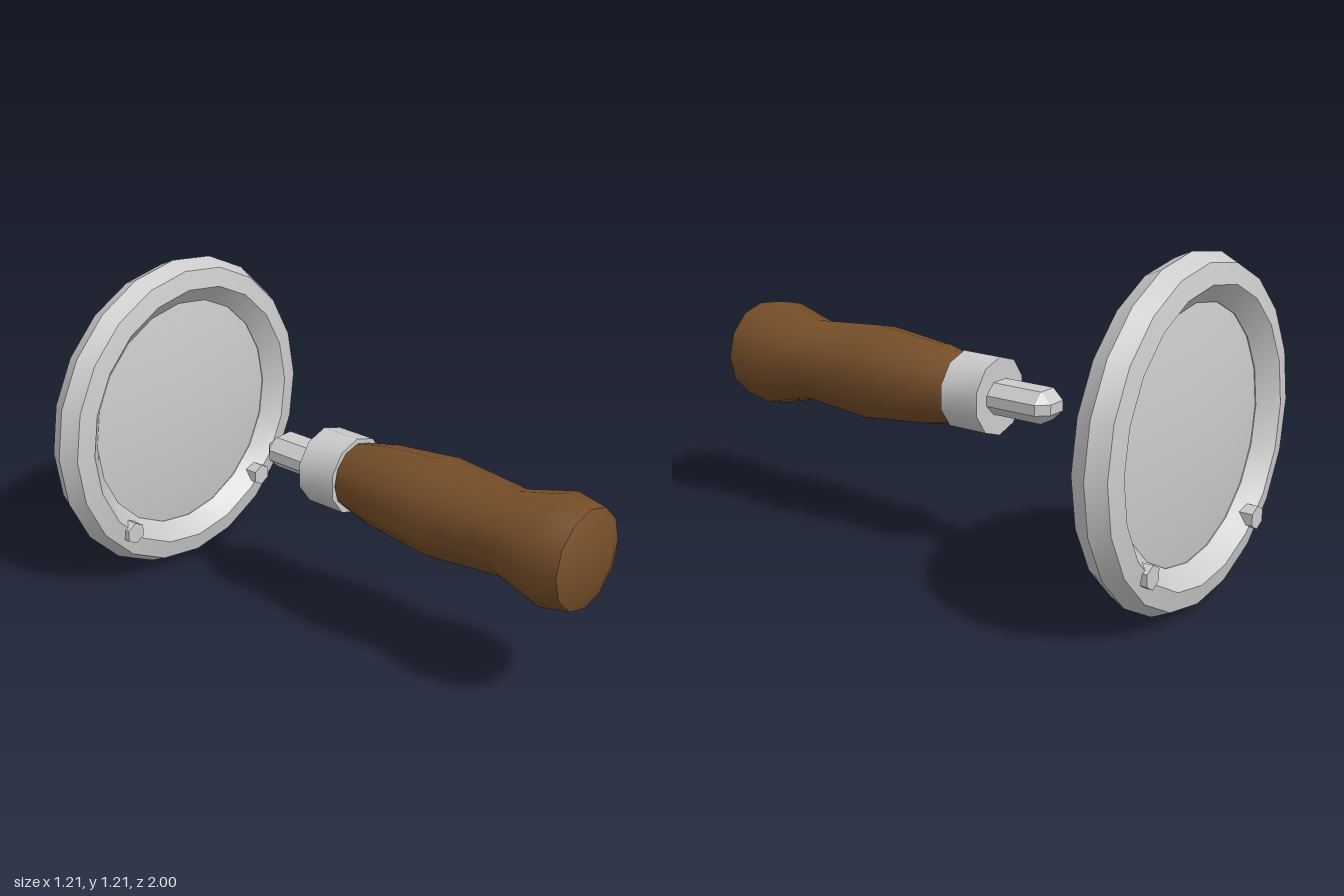
import * as THREE from 'three';
import { toCreasedNormals } from 'three/addons/utils/BufferGeometryUtils.js';
import { ConvexGeometry } from 'three/addons/geometries/ConvexGeometry.js';

const AXIS_Y = 0.605; // height of the shared axis
const RIM_Z = -0.905; // middle plane of the lens and its rim

const grey = new THREE.MeshStandardMaterial({ color: 0xcccccc });
const wood = new THREE.MeshStandardMaterial({ color: 0x764e29 });

// Turned part along z; the profile is [radius, z] with z rising on the outside
function turned(name, profile, sides, material, crease = 0.7) {
  const points = profile.map(([r, z]) => new THREE.Vector2(r, z));
  const geometry = new THREE.LatheGeometry(points, sides).rotateX(Math.PI / 2);
  const mesh = new THREE.Mesh(toCreasedNormals(geometry, crease), material);
  mesh.name = name;
  mesh.position.y = AXIS_Y;
  return mesh;
}

// Chamfered rectangular tang, tapering at its free end
function createTang() {
  const corners = [];
  for (const sx of [-1, 1]) for (const sy of [-1, 1]) {
    for (const z of [-0.1, -0.36]) {
      corners.push(new THREE.Vector3(sx * 0.037, sy * 0.0575, z));
      corners.push(new THREE.Vector3(sx * 0.077, sy * 0.019, z));
    }
    corners.push(new THREE.Vector3(sx * 0.037, sy * 0.019, -0.4));
  }
  const mesh = new THREE.Mesh(new ConvexGeometry(corners), grey);
  mesh.name = 'tang';
  mesh.position.y = AXIS_Y;
  return mesh;
}

export function createModel() {
  const model = new THREE.Group();
  model.name = 'magnifierParts';

  // Wooden grip with a swollen pommel
  model.add(turned('handle', [
    [0, -0.02], [0.12, -0.02], [0.123, -0.005], [0.15, 0.115], [0.177, 0.38],
    [0.152, 0.675], [0.2, 0.855], [0.179, 0.97], [0.11, 1], [0, 1],
  ], 12, wood));

  // Metal collar and tang
  model.add(turned('collar', [[0, -0.16], [0.142, -0.16], [0.142, -0.005], [0, -0.005]], 10, grey));
  model.add(createTang());

  // Faceted rim, closed profile
  const rim = turned('rim', [
    [0.44, -0.02], [0.505, -0.08], [0.575, -0.065], [0.605, 0],
    [0.575, 0.065], [0.505, 0.08], [0.44, 0.02], [0.44, -0.02],
  ], 20, grey);
  rim.position.z = RIM_Z;
  model.add(rim);

  // Shallow biconvex lens
  const side = [];
  for (let i = 0; i <= 6; i++) {
    const t = i / 6;
    side.push([0.45 * t, 0.015 + 0.035 * (1 - t * t)]);
  }
  const lensProfile = [...side.map(([r, z]) => [r, -z]), ...side.reverse()];
  const lens = turned('lens', lensProfile, 40, grey);
  lens.position.z = RIM_Z;
  model.add(lens);

  // Hexagonal screws through the rim
  for (const s of [1, -1]) {
    const geometry = new THREE.CylinderGeometry(0.042, 0.042, 0.19, 6).rotateX(Math.PI / 2);
    const screw = new THREE.Mesh(toCreasedNormals(geometry, 0.7), grey);
    screw.name = s > 0 ? 'screwLeft' : 'screwRight';
    screw.position.set(s * 0.343, 0.24, RIM_Z);
    model.add(screw);
  }
  return model;
}
